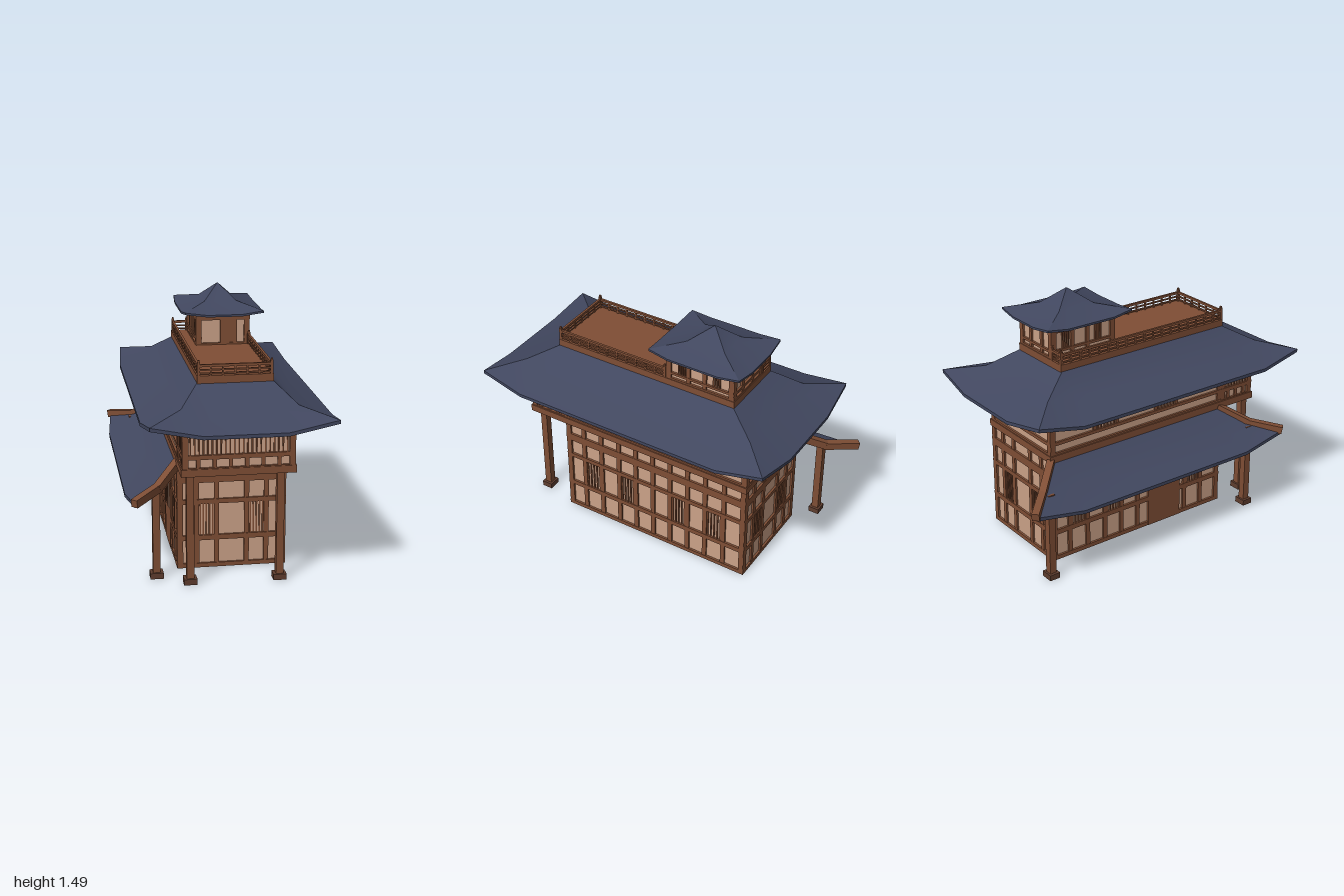
import * as THREE from 'three';
import { mergeGeometries } from 'three/addons/utils/BufferGeometryUtils.js';

const material = (name, color) => Object.assign(new THREE.MeshStandardMaterial({ color }), { name });
const wood = material('wood', 0x7f4e35);
const darkWood = material('dark wood', 0x5f3d2e);
const plaster = material('plaster', 0xcba288);
const tiles = material('roof tiles', 0x41475f);

function group(parent, name, x = 0, y = 0, z = 0, turn = 0) {
  const g = new THREE.Group();
  g.name = name;
  g.position.set(x, y, z);
  g.rotation.y = turn;
  parent.add(g);
  return g;
}

function box(parent, name, mat, w, h, d, x, y, z) {
  const m = new THREE.Mesh(new THREE.BoxGeometry(w, h, d), mat);
  m.name = name;
  m.position.set(x, y, z);
  parent.add(m);
  return m;
}

// Square timber from p to q
function timber(parent, name, p, q, w, h) {
  const m = box(parent, name, wood, w, h, p.distanceTo(q) + w * 0.4, 0, 0, 0);
  m.position.copy(p).lerp(q, 0.5);
  m.lookAt(q);
}

// Timber-framed wall in its own plane: outer face at z = 0, u runs along x.
// windows: [u0, u1, v0, v1, bar count, frame width]
function wall(parent, name, { len, y0, y1, posts = [], beams = [], windows = [], postW = 0.028 }) {
  box(parent, name + 'Plaster', plaster, len - 0.01, y1 - y0, 0.01, 0, (y0 + y1) / 2, -0.018);
  const corner = len / 2 - postW / 2;
  for (const u of [-corner, ...posts, corner])
    box(parent, name + 'Post', wood, postW, y1 - y0, 0.032, u, (y0 + y1) / 2, -0.018);
  for (const [a, b] of beams)
    box(parent, name + 'Beam', wood, len, b - a, 0.036, 0, (a + b) / 2, -0.018);
  for (const [u0, u1, v0, v1, n, frame = 0.008] of windows)
    for (let i = 0; i < n; i++) {
      const w = i === 0 || i === n - 1 ? frame : 0.008;
      box(parent, name + 'WindowBar', wood, w, v1 - v0, 0.022,
        u0 + (u1 - u0) * i / (n - 1), (v0 + v1) / 2, -0.017);
    }
}

// Grid surface from rows of points, inner row first
function grid(rows, flip = false) {
  const n = rows[0].length, index = [];
  for (let r = 0; r < rows.length - 1; r++)
    for (let c = 0; c < n - 1; c++) {
      const a = r * n + c, b = a + 1, d = a + n, e = d + 1;
      index.push(...(flip ? [a, e, d, a, b, e] : [a, d, e, a, e, b]));
    }
  const g = new THREE.BufferGeometry().setFromPoints(rows.flat());
  g.setIndex(index);
  g.computeVertexNormals();
  return g;
}

// Roof slope with a top, an underside and an eave edge
function slope(rows, t) {
  const low = rows.map(row => row.map(p => p.clone().setY(p.y - t)));
  const last = rows.length - 1;
  return mergeGeometries([grid(rows), grid(low, true), grid([rows[last], low[last]])]);
}

// Swept hip roof; rings: [half x, half z, corner y, bulge, drop, inset]
function hipRoof(parent, name, rings, t, x, z) {
  const sides = [0, 1, 2, 3].map(k => {
    const rows = rings.map(([hx, hz, y, bulge, drop, inset]) => {
      const [l, d] = k % 2 ? [hz, hx] : [hx, hz];
      return [-l, -l + inset, l - inset, l].map((u, i) => {
        const mid = i === 1 || i === 2;
        return new THREE.Vector3(u, y - (mid ? drop : 0), d + (mid ? bulge : 0));
      });
    });
    return slope(rows, t).rotateY(k * Math.PI / 2);
  });
  const m = new THREE.Mesh(mergeGeometries(sides), tiles);
  m.name = name;
  m.position.set(x, 0, z);
  parent.add(m);
}

// Railing between two deck points
function railing(parent, x0, z0, x1, z1) {
  const len = Math.hypot(x1 - x0, z1 - z0);
  const g = group(parent, 'railing', x0, 1.15, z0, -Math.atan2(z1 - z0, x1 - x0));
  box(g, 'topRail', wood, len, 0.014, 0.014, len / 2, 0.056, 0);
  for (const y of [0.012, 0.032]) box(g, 'lowerRail', wood, len, 0.008, 0.01, len / 2, y, 0);
  const n = Math.round(len / 0.066);
  for (let i = 1; i < n; i++) box(g, 'baluster', wood, 0.009, 0.052, 0.009, len * i / n, 0.026, 0);
  for (const x of [0, len]) {
    box(g, 'railPost', wood, 0.016, 0.075, 0.016, x, 0.0375, 0);
    box(g, 'railPostCap', wood, 0.01, 0.012, 0.01, x, 0.08, 0);
  }
}

function pillar(parent, x, z, top) {
  box(parent, 'pillar', wood, 0.042, top, 0.042, x, top / 2, z);
  box(parent, 'pillarBase', darkWood, 0.074, 0.034, 0.066, x, 0.017, z);
}

export function createModel() {
  const model = new THREE.Group();
  model.name = 'timberHouse';
  const Q = Math.PI / 2, cx = 0.0325, cz = -0.0825;
  const xMin = -0.28, xMax = 0.345, zFront = 0.54, zBack = -0.705;

  // Ground floor
  const lower = { y0: 0, y1: 0.64, beams: [[0, 0.025], [0.165, 0.195], [0.383, 0.41], [0.51, 0.56]] };
  const endWall = {
    ...lower, len: 0.625, posts: [-0.2, -0.0865, 0.0865, 0.2],
    windows: [[-0.18, -0.108, 0.195, 0.383, 5], [0.108, 0.18, 0.195, 0.383, 5]],
  };
  wall(group(model, 'frontWall', cx, 0, zFront), 'frontWall', endWall);
  wall(group(model, 'backWall', cx, 0, zBack, 2 * Q), 'backWall', endWall);
  const sidePosts = [-0.4975, -0.3725, -0.2475, -0.1275, -0.0075, 0.1125, 0.2325, 0.3525, 0.4775];
  const sideWindows = [0, 2, 5, 7].map(i =>
    [sidePosts[i] + 0.02, sidePosts[i + 1] - 0.02, 0.195, 0.383, 5]);
  const sideWall = { ...lower, len: 1.245, posts: sidePosts, windows: sideWindows };
  wall(group(model, 'plainSideWall', xMax, 0, cz, Q), 'sideWall', sideWall);
  const porchSide = group(model, 'porchSideWall', xMin, 0, cz, -Q);
  wall(porchSide, 'sideWall', sideWall);

  // Door with a lattice light, under the lean-to
  box(porchSide, 'door', wood, 0.24, 0.46, 0.04, 0.19, 0.23, -0.018);
  for (const z of [0.003, -0.039])
    box(porchSide, 'doorLight', plaster, 0.15, 0.18, 0.004, 0.19, 0.33, z);
  for (let i = 0; i < 4; i++)
    for (const z of [0.005, -0.041])
      box(porchSide, 'doorLattice', wood, 0.008, 0.18, 0.006, 0.145 + i * 0.03, 0.33, z);

  // Upper floor
  box(model, 'upperFloor', wood, 0.638, 0.042, 1.5, cx, 0.652, 0.04);
  const upperBeams = [[0.66, 0.685], [0.73, 0.75], [0.868, 0.99]];
  const upperSide = {
    len: 1.245, y0: 0.66, y1: 0.99, beams: upperBeams,
    windows: [[-0.315, -0.155, 0.75, 0.868, 8, 0.022], [0.125, 0.28, 0.75, 0.868, 8, 0.022]],
  };
  wall(group(model, 'upperSide', xMax, 0, cz, Q), 'upperSide', upperSide);
  wall(group(model, 'upperSide', xMin, 0, cz, -Q), 'upperSide', upperSide);
  wall(group(model, 'upperBack', cx, 0, zBack, 2 * Q), 'upperBack', { ...upperSide, len: 0.625, windows: [] });

  // Enclosed balcony with slatted screens
  const balcony = (name, len, bars, studs, x, z, turn) => {
    const g = group(model, name, x, 0, z, turn);
    wall(g, name, {
      len, y0: 0.66, y1: 0.99, postW: 0.034, beams: [[0.66, 0.678], [0.725, 0.75], [0.89, 0.99]],
      windows: [[-len / 2 + 0.045, len / 2 - 0.045, 0.75, 0.89, bars]],
    });
    for (let i = 1; i < studs; i++)
      box(g, 'balconyStud', wood, 0.022, 0.07, 0.028, -len / 2 + len * i / studs, 0.695, -0.018);
  };
  balcony('balconyFront', 0.625, 23, 7, cx, 0.785, 0);
  balcony('balconySide', 0.245, 8, 4, xMax, 0.6625, Q);
  balcony('balconySide', 0.245, 8, 4, xMin, 0.6625, -Q);
  for (const x of [-0.235, 0.267]) pillar(model, x, 0.752, 0.64);

  // Main roof and deck
  hipRoof(model, 'mainRoof', [
    [0.21, 0.583, 1.112, 0, 0, 0.12],
    [0.32, 0.755, 1.014, 0, 0.004, 0.18],
    [0.507, 0.937, 0.972, 0.024, 0.05, 0.28],
  ], 0.02, 0.035, 0.036);
  box(model, 'deck', wood, 0.424, 0.05, 1.18, 0.036, 1.126, 0.036);
  railing(model, -0.166, 0.616, 0.238, 0.616);
  railing(model, 0.238, 0.616, 0.238, -0.1);
  railing(model, -0.166, 0.616, -0.166, -0.545);
  railing(model, -0.166, -0.545, -0.08, -0.545);

  // Tower
  const tx = 0.0825, tz = -0.33;
  const tower = { y0: 1.15, y1: 1.355, postW: 0.024, beams: [[1.15, 1.162], [1.3, 1.328]] };
  const towerSide = {
    ...tower, len: 0.44, posts: [-0.075, 0.03],
    beams: [[1.15, 1.162], [1.185, 1.2], [1.3, 1.32]],
    windows: [[-0.14, -0.1, 1.2, 1.3, 4], [0.085, 0.125, 1.2, 1.3, 4]],
  };
  const towerFront = group(model, 'towerFront', tx, 0, -0.11);
  wall(towerFront, 'towerFront', tower);
  wall(towerFront, 'towerFront', { ...tower, len: 0.325 });
  towerFront.children.splice(0, 5);
  box(towerFront, 'towerDoor', wood, 0.102, 0.145, 0.03, 0.036, 1.232, -0.018);
  wall(group(model, 'towerBack', tx, 0, -0.55, 2 * Q), 'towerBack',
    { ...towerSide, len: 0.325, posts: [-0.055, 0.055], windows: [] });
  wall(group(model, 'towerSide', 0.245, 0, tz, Q), 'towerSide', towerSide);
  wall(group(model, 'towerSide', -0.08, 0, tz, -Q), 'towerSide', towerSide);
  hipRoof(model, 'towerRoof', [
    [0.002, 0.002, 1.486, 0, 0, 0.001],
    [0.097, 0.12, 1.396, 0, 0.002, 0.06],
    [0.234, 0.288, 1.362, 0.01, 0.016, 0.13],
  ], 0.012, 0.083, tz);

  // Lean-to roof with splayed end beams and its posts
  const lean = [
    [-0.28, 0.635, 0.615, 0, 0, 0.2],
    [-0.4, 0.54, 0.755, 0, 0.012, 0.25],
    [-0.54, 0.495, 0.89, 0.03, 0.04, 0.3],
  ].map(([x, y, l, bulge, drop, inset]) => [-l, -l + inset, l - inset, l].map((u, i) => {
    const mid = i === 1 || i === 2;
    return new THREE.Vector3(x - (mid ? bulge : 0), y - (mid ? drop : 0), u - 0.0875);
  }));
  const leanRoof = new THREE.Mesh(slope(lean, 0.02), tiles);
  leanRoof.name = 'leanToRoof';
  model.add(leanRoof);
  for (const s of [-1, 1]) {
    const path = [[-0.275, 0.632, 0.615], [-0.4, 0.538, 0.755], [-0.538, 0.505, 0.893]]
      .map(([x, y, l]) => new THREE.Vector3(x, y, s * l - 0.0875));
    for (let i = 0; i < 2; i++) timber(model, 'leanToBeam', path[i], path[i + 1], 0.042, 0.045);
  }
  pillar(model, -0.41, 0.64, 0.53);
  pillar(model, -0.41, -0.805, 0.53);
  return model;
}
